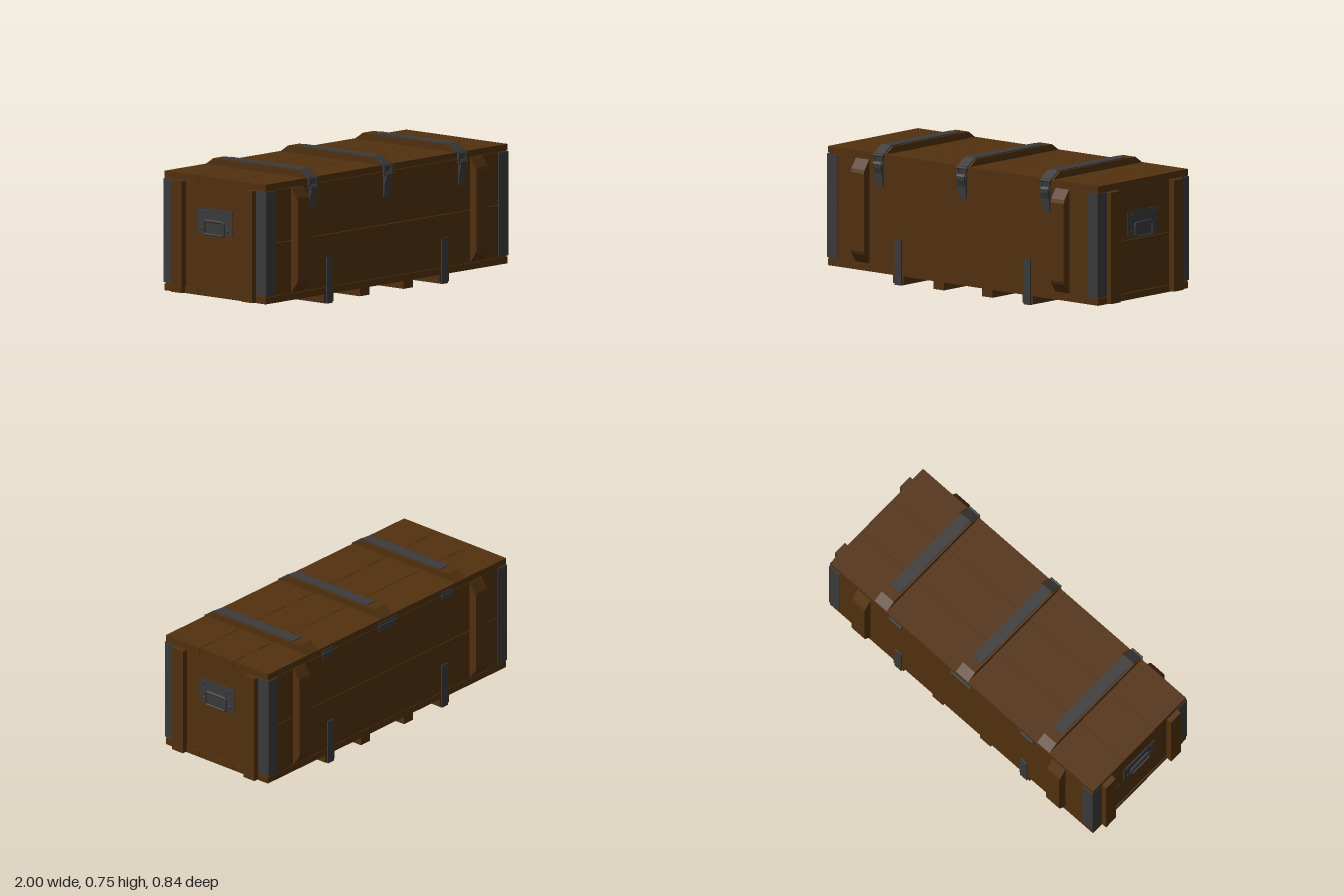
import * as THREE from 'three';

export function createModel() {
  const model = new THREE.Group();
  const wood = new THREE.MeshStandardMaterial({ color: 0x52310f });
  wood.name = 'brownWood';
  const metal = new THREE.MeshStandardMaterial({ color: 0x3b3b3b });
  metal.name = 'darkMetal';

  const add = (name, geometry, material, parent = model) => {
    const mesh = new THREE.Mesh(geometry, material);
    mesh.name = name;
    parent.add(mesh);
    return mesh;
  };
  // box given by its lower and upper bounds on each axis
  const box = (name, material, [x0, x1], [y0, y1], [z0, z1], parent) => {
    const mesh = add(name, new THREE.BoxGeometry(x1 - x0, y1 - y0, z1 - z0), material, parent);
    mesh.position.set((x0 + x1) / 2, (y0 + y1) / 2, (z0 + z1) / 2);
    return mesh;
  };
  // profile of [z, y] points extruded along x, centred on x
  const bar = (name, material, points, x, width, parent) => {
    const shape = new THREE.Shape(points.map(p => new THREE.Vector2(...p)));
    const g = new THREE.ExtrudeGeometry(shape, { depth: width, bevelEnabled: false });
    g.translate(0, 0, -width / 2).rotateY(-Math.PI / 2);
    const mesh = add(name, g, material, parent);
    mesh.position.x = x;
    return mesh;
  };

  // inner core behind the plank gaps
  box('core', wood, [-0.95, 0.95], [0.06, 0.7], [-0.355, 0.355]);

  // floor and lid planks
  for (const [z0, z1] of [[-0.37, -0.125], [-0.122, 0.122], [0.125, 0.37]]) {
    box('floorPlank', wood, [-0.97, 0.97], [0.053, 0.09], [z0, z1]);
    box('lidPlank', wood, [-0.97, 0.97], [0.672, 0.708], [z0, z1]);
  }

  // wall planks
  for (const [y0, y1] of [[0.092, 0.379], [0.382, 0.67]]) {
    for (const s of [-1, 1]) {
      const side = box('sidePlank', wood, [-0.965, 0.965], [y0, y1], [-0.0075, 0.0075]);
      side.position.z = s * 0.3625;
      const end = box('endPlank', wood, [-0.0075, 0.0075], [y0, y1], [-0.365, 0.365]);
      end.position.x = s * 0.9575;
    }
  }

  for (const sx of [-1, 1]) {
    for (const sz of [-1, 1]) {
      // metal angle on each upright corner
      const front = box('cornerFace', metal, [-0.0375, 0.0375], [0.098, 0.668], [-0.005, 0.005]);
      front.position.x = sx * 0.9345;
      front.position.z = sz * 0.37;
      const end = box('cornerReturn', metal, [-0.005, 0.005], [0.098, 0.668], [-0.0375, 0.0375]);
      end.position.x = sx * 0.967;
      end.position.z = sz * 0.3375;

      // upright batten on the end wall
      const endBatten = box('endBatten', wood, [-0.0175, 0.0175], [0.056, 0.668], [-0.039, 0.039]);
      endBatten.position.x = sx * 0.9825;
      endBatten.position.z = sz * 0.259;

      // chamfered batten on the long wall
      const points = [[0.365, 0.098], [0.375, 0.098], [0.412, 0.148], [0.419, 0.165],
        [0.419, 0.595], [0.412, 0.615], [0.375, 0.668], [0.365, 0.668]];
      const mirrored = points.map(([z, y]) => [sz * z, y]);
      bar('sideBatten', wood, mirrored, sx * 0.718, 0.095);
    }
  }

  // skids under the floor, the outer pair wrapped by metal straps
  for (const x of [-0.465, -0.175, 0.175, 0.465]) {
    box('skid', wood, [x - 0.038, x + 0.038], [0.01, 0.053], [-0.37, 0.37]);
    if (Math.abs(x) < 0.3) continue;
    const sx = Math.sign(x) * 0.463;
    bar('skidStrap', metal, [[-0.377, 0.002], [0.377, 0.002], [0.377, 0.253], [0.369, 0.253],
      [0.369, 0.01], [-0.369, 0.01], [-0.369, 0.253], [-0.377, 0.253]], sx, 0.048);
  }

  // lid battens with straps and front latches
  for (const x of [-0.6, 0, 0.6]) {
    bar('lidBatten', wood, [[-0.369, 0.706], [0.369, 0.706], [0.31, 0.745], [-0.31, 0.745]], x, 0.09);
    bar('lidStrap', metal, [[-0.25, 0.744], [0.31, 0.744], [0.368, 0.705], [0.368, 0.672],
      [0.375, 0.672], [0.375, 0.709], [0.312, 0.75], [-0.25, 0.75]], x, 0.066);
    const latch = new THREE.Group();
    latch.name = 'latch';
    model.add(latch);
    bar('latchLever', metal, [[0.368, 0.53], [0.377, 0.53], [0.382, 0.6], [0.394, 0.635],
      [0.394, 0.655], [0.386, 0.667], [0.368, 0.667]], x, 0.054, latch);
    for (const s of [-1, 1]) {
      bar('latchHook', metal, [[0.377, 0.64], [0.385, 0.64], [0.385, 0.705], [0.377, 0.705]],
        x + s * 0.028, 0.012, latch);
    }
    for (const y of [0.7, 0.655]) {
      const pin = add('latchPin', new THREE.CylinderGeometry(0.007, 0.007, 0.076, 10), metal, latch);
      pin.rotation.z = Math.PI / 2;
      pin.position.set(x, y, 0.38);
    }
  }

  // hinges along the back
  for (const [x, w] of [[-0.485, 0.09], [0, 0.145], [0.485, 0.09]]) {
    box('hingeLeaf', metal, [x - w / 2, x + w / 2], [0.64, 0.69], [-0.374, -0.366]);
    const knuckle = add('hingeKnuckle', new THREE.CylinderGeometry(0.006, 0.006, w, 10), metal);
    knuckle.rotation.z = Math.PI / 2;
    knuckle.position.set(x, 0.67, -0.373);
  }

  // carrying handle on each end: plate, rivets, hinge bar and ring
  const w = 0.072, top = 0.468, low = 0.393, r = 0.016;
  const ring = new THREE.CurvePath();
  const corners = [[-w, low], [w, low], [w, top], [-w, top]].map(([z, y]) => new THREE.Vector3(0, y, z));
  corners.forEach((c, i) => {
    const prev = corners[(i + 3) % 4], next = corners[(i + 1) % 4], after = corners[(i + 2) % 4];
    const toward = (a, b) => a.clone().add(b.clone().sub(a).setLength(r));
    ring.add(new THREE.QuadraticBezierCurve3(toward(c, prev), c, toward(c, next)));
    ring.add(new THREE.LineCurve3(toward(c, next), toward(next, c)));
  });
  for (const s of [-1, 1]) {
    const handle = new THREE.Group();
    handle.name = 'handle';
    handle.rotation.y = s > 0 ? 0 : Math.PI;
    model.add(handle);
    box('handlePlate', metal, [0.962, 0.97], [0.395, 0.536], [-0.124, 0.124], handle);
    const grip = add('handleRing', new THREE.TubeGeometry(ring, 96, 0.006, 8, true), metal, handle);
    grip.position.x = 0.977;
    const hinge = add('handleHinge', new THREE.CylinderGeometry(0.009, 0.009, 0.126, 12), metal, handle);
    hinge.rotation.x = Math.PI / 2;
    hinge.position.set(0.974, 0.467, 0);
    for (const z of [-0.093, 0.093]) {
      for (const y of [0.422, 0.514]) {
        const rivet = add('rivet', new THREE.SphereGeometry(0.009, 12, 8), metal, handle);
        rivet.scale.x = 0.5;
        rivet.position.set(0.97, y, z);
      }
    }
  }
  return model;
}
